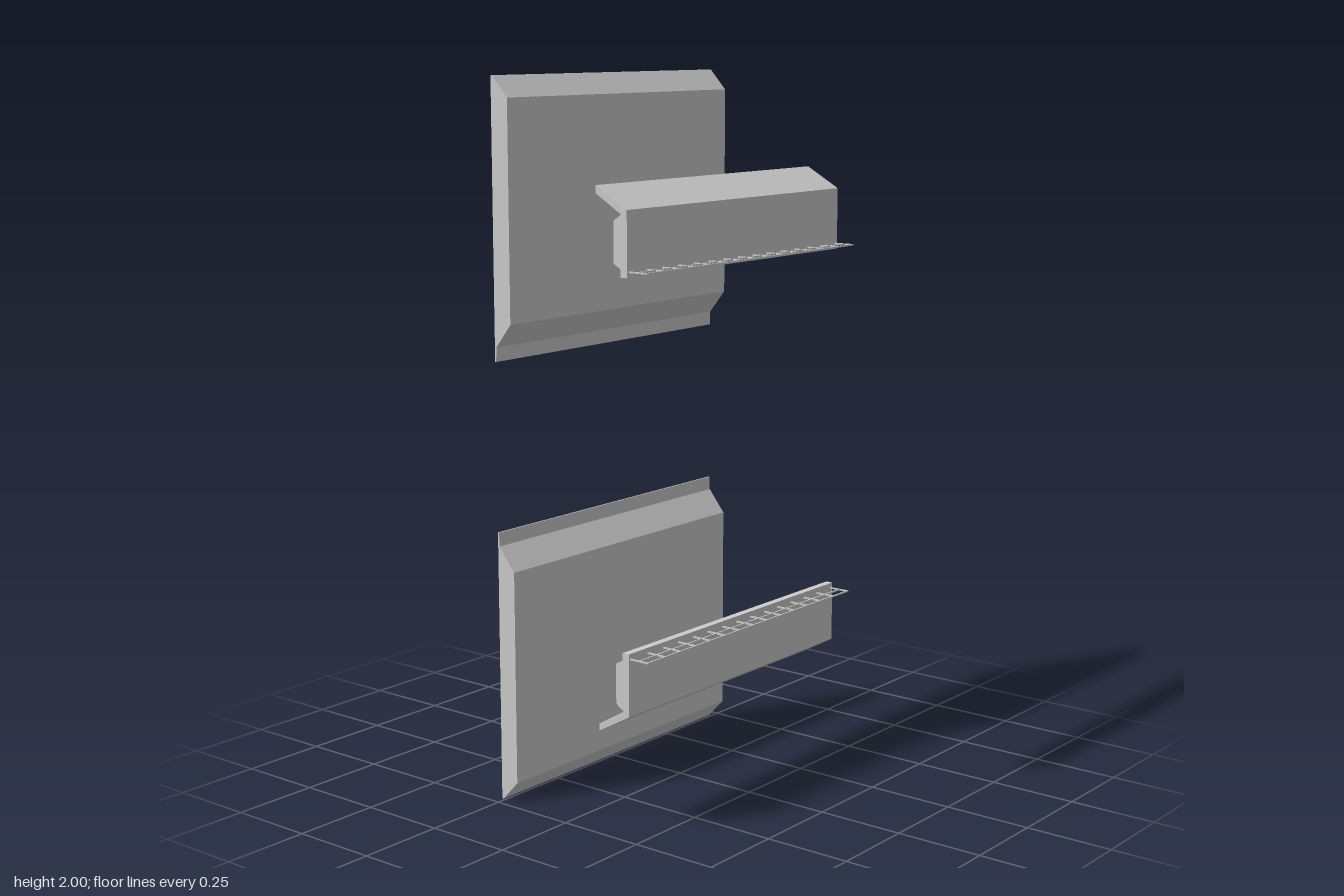
import * as THREE from 'three';

const material = new THREE.MeshStandardMaterial({ color: 0xcccccc, flatShading: true, side: THREE.DoubleSide });
const HALF = 0.47; // half the width of panels and rails

// Sweeps a [z, y] outline along x, centred on x.
function sweep(name, outline, width, x = 0) {
  const shape = new THREE.Shape(outline.map(([z, y]) => new THREE.Vector2(-z, y)));
  const geometry = new THREE.ExtrudeGeometry(shape, { depth: width, bevelEnabled: false });
  geometry.translate(0, 0, -width / 2).rotateY(Math.PI / 2).translate(x, 0, 0);
  const mesh = new THREE.Mesh(geometry, material);
  mesh.name = name;
  return mesh;
}

function bar(name, w, h, d, x, y, z) {
  const mesh = new THREE.Mesh(new THREE.BoxGeometry(w, h, d), material);
  mesh.name = name;
  mesh.position.set(x, y, z);
  return mesh;
}

// Back panel with bevelled edges and a thin flange on the inner edge
const panelOutline = [
  [-0.263, 2], [-0.258, 2], [-0.205, 1.943], [-0.205, 1.343],
  [-0.258, 1.277], [-0.259, 1.238], [-0.263, 1.238],
];

// Hollow rail: sloping lip, thin face and thicker foot
const railOutline = [
  [0.202, 1.498], [0.202, 1.671], [0.098, 1.729], [0.098, 1.709],
  [0.181, 1.66], [0.196, 1.652], [0.196, 1.52], [0.181, 1.52], [0.181, 1.498],
];

// Plate closing each end of the rail
const capOutline = [
  [0.2, 1.5], [0.2, 1.665], [0.18, 1.657], [0.157, 1.642],
  [0.157, 1.532], [0.181, 1.518], [0.181, 1.5],
];

// Wire grille standing out in front of the rail foot
function createGrille(y) {
  const grille = new THREE.Group();
  grille.name = 'grille';
  const t = 0.004, halfWidth = 0.463;
  for (const z of [0.232, 0.261]) {
    grille.add(bar('longWire', halfWidth * 2 + t, t, t, 0, y, z));
  }
  for (let i = -7; i <= 7; i++) {
    const x = Math.abs(i) === 7 ? Math.sign(i) * halfWidth : i * 0.065;
    grille.add(bar('crossWire', t, t, 0.064, x, y, 0.231));
  }
  return grille;
}

// One panel and rail; the lower set is the upper one upside down
function createSet(name, mapY) {
  const set = new THREE.Group();
  set.name = name;
  const map = (outline) => outline.map(([z, y]) => [z, mapY(y)]);
  set.add(sweep('backPanel', map(panelOutline), HALF * 2));
  set.add(sweep('rail', map(railOutline), HALF * 2));
  for (const side of [-1, 1]) {
    set.add(sweep('railEndCap', map(capOutline), 0.01, side * (HALF - 0.006)));
  }
  set.add(createGrille(mapY(1.513)));
  return set;
}

export function createModel() {
  const model = new THREE.Group();
  model.name = 'panelsWithRails';
  model.add(createSet('upperSet', (y) => y));
  model.add(createSet('lowerSet', (y) => 2 - y + (y < 1.9 ? 0.004 : 0)));
  return model;
}
